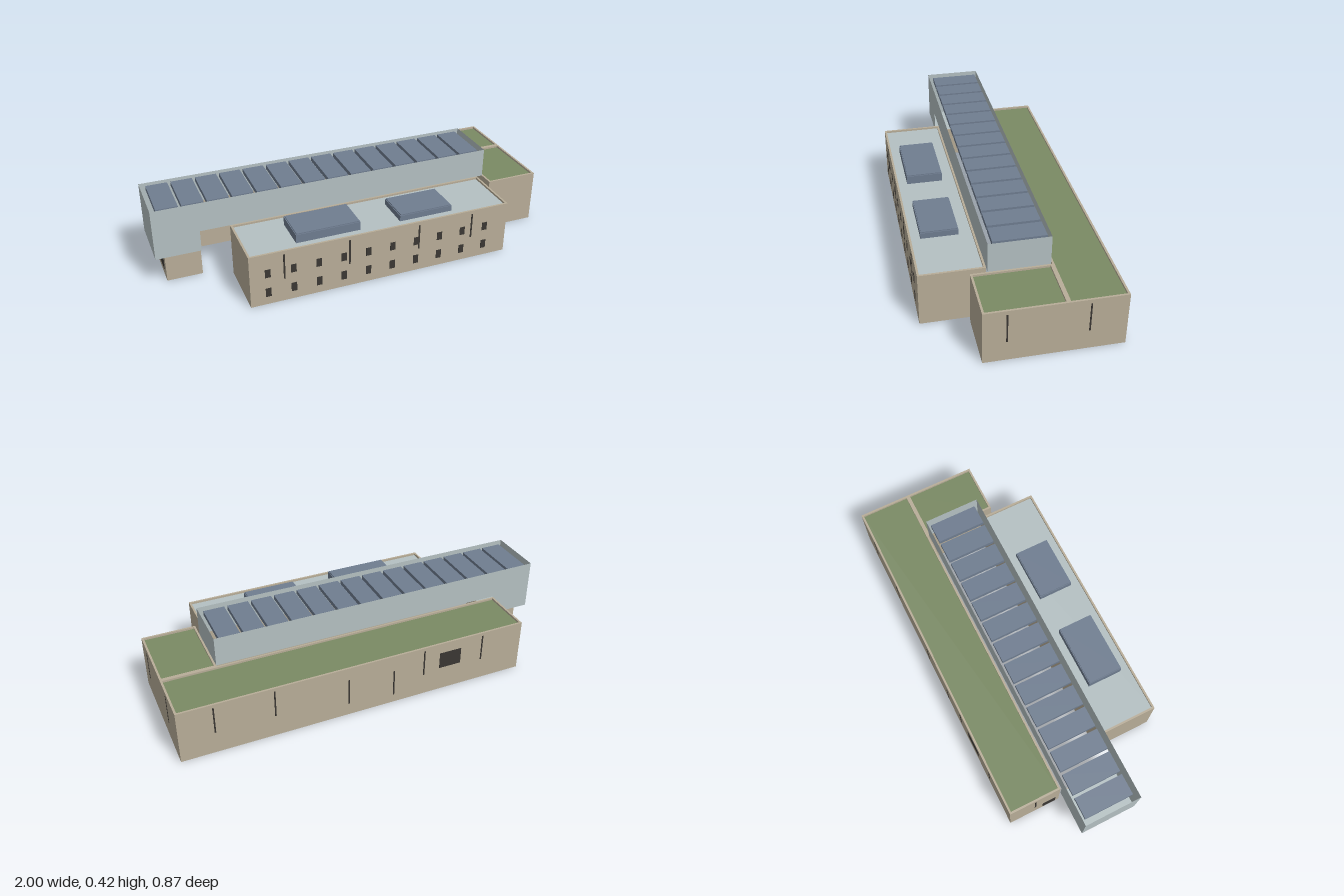
import * as THREE from 'three';

const material = (name, color, side = THREE.FrontSide) => {
  const m = new THREE.MeshStandardMaterial({ color, side });
  m.name = name;
  return m;
};

export function createModel() {
  const stone = material('sandstone', 0xb8ad98);
  const pale = material('pale grey blue', 0xb4c0c2, THREE.DoubleSide);
  const slate = material('slate glass', 0x6f7d90);
  const green = material('planted roof green', 0x7a8a64);
  const dark = material('dark opening', 0x3a3733);

  const model = new THREE.Group();
  model.name = 'building';

  const add = (name, geometry, mat, parent = model) => {
    const mesh = new THREE.Mesh(geometry, mat);
    mesh.name = name;
    parent.add(mesh);
    return mesh;
  };

  // Box given by its limits on each axis
  const box = (name, mat, x0, x1, y0, y1, z0, z1, parent = model) => {
    const mesh = add(name, new THREE.BoxGeometry(x1 - x0, y1 - y0, z1 - z0), mat, parent);
    mesh.position.set((x0 + x1) / 2, (y0 + y1) / 2, (z0 + z1) / 2);
    return mesh;
  };

  const rectangle = (path, x0, x1, y0, y1) =>
    path.moveTo(x0, y0).lineTo(x1, y0).lineTo(x1, y1).lineTo(x0, y1).closePath();

  // Block open at the bottom: a ring of walls with a parapet and a sunken roof
  const WALL = 0.01;
  const block = (name, x0, x1, z0, z1, height, roofMat) => {
    const group = new THREE.Group();
    group.name = name;
    model.add(group);
    const shape = new THREE.Shape();
    rectangle(shape, x0, x1, -z1, -z0);
    const hole = new THREE.Path();
    rectangle(hole, x0 + WALL, x1 - WALL, -z1 + WALL, -z0 - WALL);
    shape.holes.push(hole);
    const walls = new THREE.ExtrudeGeometry(shape, { depth: height, bevelEnabled: false });
    walls.rotateX(-Math.PI / 2);
    add('walls', walls, stone, group);
    box('roof', roofMat, x0 + WALL, x1 - WALL, height - 0.017, height - 0.01, z0 + WALL, z1 - WALL, group);
  };

  const H = 0.272;
  block('frontBlock', -0.635, 0.7, 0.128, 0.435, H, pale);
  block('rearBlock', -0.78, 1, -0.435, -0.165, H, green);
  block('eastBlock', 0.73, 1, -0.165, 0.207, H, green);
  block('westBase', -0.95, -0.775, -0.13, 0.075, 0.164, stone);

  // Raised hall: open-topped sheet walls that drop lower at the overhanging west end
  const hall = new THREE.Group();
  hall.name = 'raisedHall';
  model.add(hall);
  const X0 = -1, X1 = 0.73, XS = -0.78, Z0 = -0.16, Z1 = 0.128, LOW = 0.165, TOP = 0.422;
  const side = new THREE.Shape();
  side.moveTo(X0, LOW).lineTo(XS, LOW).lineTo(XS, H).lineTo(X1, H).lineTo(X1, TOP).lineTo(X0, TOP).closePath();
  add('frontHallWall', new THREE.ShapeGeometry(side), pale, hall).position.z = Z1;
  const back = add('backHallWall', new THREE.ShapeGeometry(side).scale(-1, 1, 1), pale, hall);
  back.scale.x = -1;
  back.position.z = Z0;
  for (const [name, x, low, turn] of [['westHallWall', X0, LOW, -1], ['eastHallWall', X1, H, 1]]) {
    const end = add(name, new THREE.PlaneGeometry(Z1 - Z0, TOP - low), pale, hall);
    end.rotation.y = turn * Math.PI / 2;
    end.position.set(x, (low + TOP) / 2, (Z0 + Z1) / 2);
  }
  const floor = add('overhangFloor', new THREE.PlaneGeometry(XS - X0, Z1 - Z0), pale, hall);
  floor.rotation.x = -Math.PI / 2;
  floor.position.set((X0 + XS) / 2, LOW, (Z0 + Z1) / 2);

  // Row of glazed panels along the hall
  for (let i = 0; i < 14; i++) {
    const x = -0.97 + i * 0.1207;
    box('hallSkylight', slate, x, x + 0.105, 0.39, 0.413, -0.146, 0.103, hall);
  }

  // Two roof lights on the front block, each with a slightly inset cap
  for (const [x0, x1, top] of [[-0.39, -0.068, 0.31], [0.138, 0.415, 0.296]]) {
    box('roofLight', slate, x0, x1, 0.26, top - 0.005, 0.2, 0.38);
    box('roofLightCap', slate, x0 + 0.004, x1 - 0.004, top - 0.005, top, 0.204, 0.376);
  }

  // Openings as thin plates on walls facing along z or x
  const T = 0.002;
  const plateZ = (name, x, w, y0, y1, z) => box(name, dark, x - w / 2, x + w / 2, y0, y1, z - T, z + T);
  const plateX = (name, z, w, y0, y1, x) => box(name, dark, x - T, x + T, y0, y1, z - w / 2, z + w / 2);

  // Two rows of small front windows
  for (let i = 0; i < 10; i++) {
    const x = -0.548 + i * 0.125;
    plateZ('frontWindow', x, 0.027, 0.147, 0.19, 0.435);
    plateZ('frontWindow', x, 0.027, 0.042, 0.088, 0.435);
  }

  // Tall narrow slits
  for (const x of [-0.468, -0.145, 0.216, 0.502]) plateZ('frontSlit', x, 0.008, 0.122, 0.254, 0.435);
  for (const [x, top] of [[0.83, 0.255], [0.542, 0.255], [0.172, 0.205], [-0.065, 0.185], [-0.228, 0.255], [-0.552, 0.255]])
    plateZ('rearSlit', x, 0.007, top - 0.14, top, -0.435);
  for (const z of [0.1, -0.265]) plateX('eastSlit', z, 0.007, 0.102, 0.252, 1);
  plateX('westSlit', -0.297, 0.007, 0.11, 0.25, -0.78);

  // Larger openings
  plateZ('rearWindow', -0.373, 0.118, 0.13, 0.217, -0.435);
  plateX('westDoor', -0.22, 0.07, 0.02, 0.1, -0.78);
  plateX('baseDoor', -0.015, 0.095, 0.04, 0.13, -0.95);

  return model;
}
